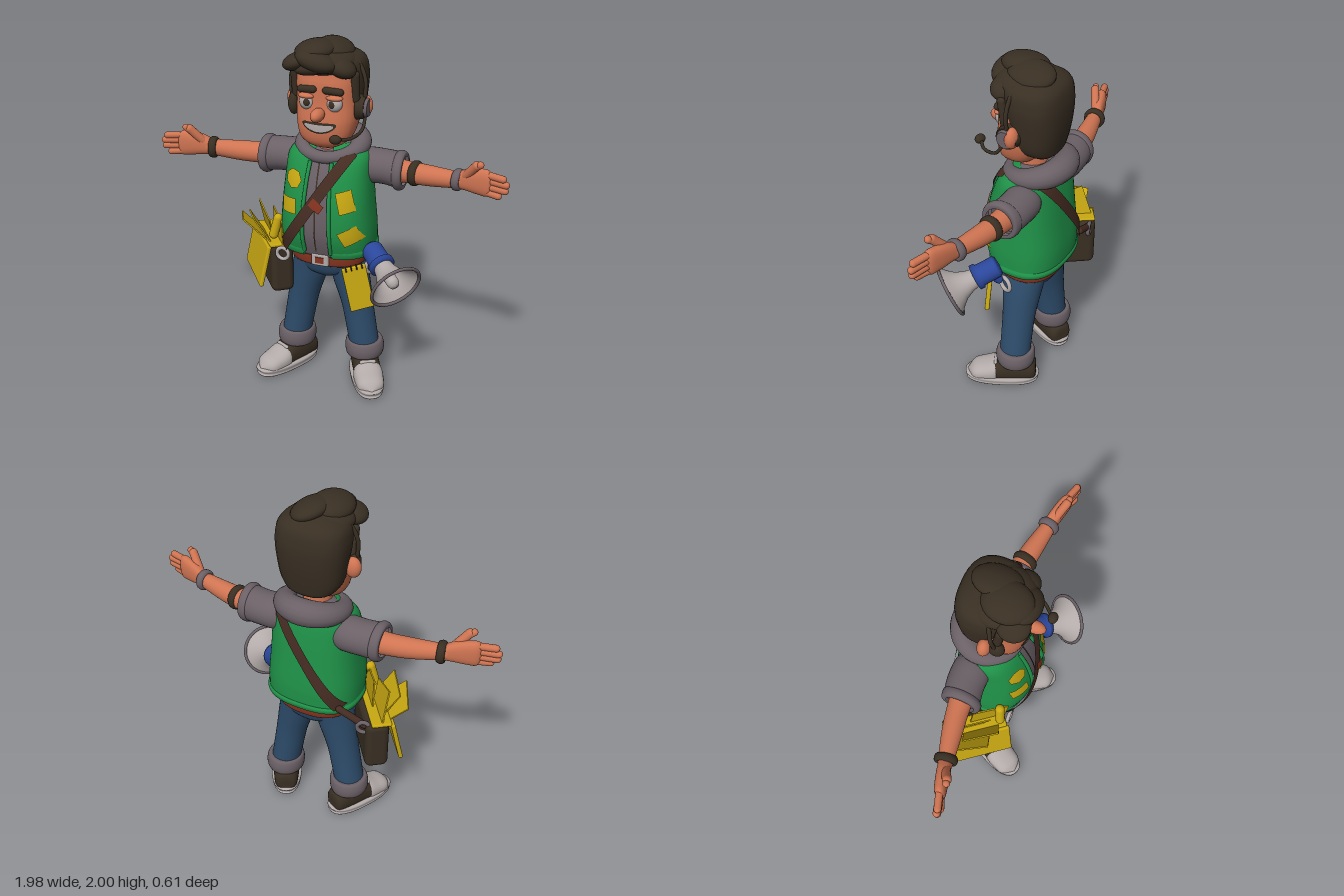
import * as THREE from 'three';
import { ParametricGeometry } from 'three/addons/geometries/ParametricGeometry.js';
import { RoundedBoxGeometry } from 'three/addons/geometries/RoundedBoxGeometry.js';

const paint = (name, color, side = THREE.FrontSide) => {
  const m = new THREE.MeshStandardMaterial({ color, side });
  m.name = name;
  return m;
};
const D = THREE.DoubleSide;
const V = (a) => new THREE.Vector3(...a);

// smooth interpolation through rows of numbers
function sample(rows, t) {
  const f = t * (rows.length - 1), i = Math.min(Math.floor(f), rows.length - 2), k = f - i;
  const row = (j) => rows[Math.max(0, Math.min(rows.length - 1, j))];
  const [p, a, b, q] = [row(i - 1), row(i), row(i + 1), row(i + 2)];
  return a.map((v, c) => v + 0.5 * k * (b[c] - p[c] + k * (2 * p[c] - 5 * v + 4 * b[c] - q[c] + k * (3 * (v - b[c]) + q[c] - p[c]))));
}

// skin over rounded sections [y, centre x, centre z, half width, half depth], with an optional front opening
function loft(rows, n = 2, gap = 0, seg = 32) {
  return new ParametricGeometry((u, v, out) => {
    const [y, cx, cz, rx, rz] = sample(rows, v);
    const a = gap + u * (2 * Math.PI - 2 * gap), s = Math.sin(a), c = Math.cos(a);
    const r = 1 / Math.pow(Math.abs(s) ** n + Math.abs(c) ** n, 1 / n);
    out.set(cx + rx * s * r, y, cz + rz * c * r);
  }, seg, (rows.length - 1) * 4);
}

// lay a flat shape on the front (1) or back (-1) of a lofted body
function drape(geo, rows, n, side, off) {
  const p = geo.attributes.position;
  for (let i = 0; i < p.count; i++) {
    let lo = 0, hi = 1;
    for (let k = 0; k < 20; k++) {
      const mid = (lo + hi) / 2;
      if (sample(rows, mid)[0] < p.getY(i)) lo = mid; else hi = mid;
    }
    const [, cx, cz, rx, rz] = sample(rows, lo);
    const q = Math.max(0, 1 - Math.abs((p.getX(i) - cx) / rx) ** n) ** (1 / n);
    p.setZ(i, cz + side * (rz * q + off));
  }
  geo.computeVertexNormals();
  return geo;
}

const toward = (geo, from, dir) => geo
  .applyQuaternion(new THREE.Quaternion().setFromUnitVectors(V([0, 1, 0]), V(dir).normalize()))
  .translate(...from);
function rod(a, b, r) {
  const d = V(b).sub(V(a));
  return toward(new THREE.CapsuleGeometry(r, d.length(), 6, 14), V(a).addScaledVector(d, 0.5).toArray(), d.toArray());
}
const blob = (c, r, rz = 0) => new THREE.SphereGeometry(1, 24, 16).scale(...r).rotateZ(rz).translate(...c);
const tube = (pts, r) => new THREE.TubeGeometry(new THREE.CatmullRomCurve3(pts.map(V)), 32, r, 10);
function mirrored(geo) {
  const g = geo.clone().scale(-1, 1, 1), ix = g.index.array;
  for (let i = 0; i < ix.length; i += 3) [ix[i], ix[i + 1]] = [ix[i + 1], ix[i]];
  return g;
}

export function createModel() {
  const skin = paint('skin', 0xcf7452), dark = paint('dark brown', 0x392f23, D), green = paint('vest green', 0x1f9148, D);
  const grey = paint('hoodie grey', 0x6a6066, D), jeans = paint('denim', 0x2e4d6c), yellow = paint('yellow', 0xc9a912, D);
  const light = paint('pale grey', 0xb3abaa, D), red = paint('belt red', 0x85331f, D), blue = paint('blue', 0x2b479b);
  const strapCol = paint('strap brown', 0x452c22, D);
  const model = new THREE.Group();
  const add = (name, geo, mat, parent = model) => {
    const m = new THREE.Mesh(geo, mat);
    m.name = name;
    parent.add(m);
    return m;
  };
  const pair = (name, geo, mat) => {
    add(name + 'Left', geo, mat);
    add(name + 'Right', mirrored(geo), mat);
  };

  // legs, cuffs, hips
  pair('leg', loft([[0.18, .215, -.065, .086, .09], [0.45, .168, -.065, .09, .094], [0.65, .122, -.065, .106, .115], [0.8, .1, -.065, .095, .14]]), jeans);
  pair('cuff', loft([[0.14, .212, -.07, .08, .08], [0.145, .212, -.07, .104, .106], [0.19, .212, -.07, .113, .115], [0.235, .21, -.07, .104, .106], [0.24, .21, -.07, .08, .085]]), grey);
  add('hips', loft([[0.65, 0, -.065, .05, .09], [0.69, 0, -.065, .16, .13], [0.77, 0, -.065, .2, .155], [0.84, 0, -.065, .2, .16]], 2.4), jeans);

  // shoes, toes turned out
  const shoeAt = (g) => g.rotateY(0.48).translate(.215, 0, -.065);
  const lengthwise = (rows) => shoeAt(loft(rows.map(([z, cy, rx, ry]) => [z, 0, -cy, rx, ry]), 2.3).rotateX(Math.PI / 2));
  pair('sole', shoeAt(loft([[0, 0, .075, .001, .001], [0, 0, .075, .08, .195], [.02, 0, .075, .089, .207], [.048, 0, .075, .086, .202], [.052, 0, .075, .001, .001]], 2.5)), light);
  pair('shoeUpper', lengthwise([[-.125, .07, .001, .001], [-.115, .08, .06, .06], [-.03, .09, .076, .09], [.06, .085, .078, .085], [.13, .065, .078, .065], [.17, .05, .05, .03]]), dark);
  pair('toeCap', lengthwise([[.1, .07, .06, .05], [.11, .07, .083, .072], [.17, .06, .083, .06], [.24, .05, .068, .045], [.28, .045, .001, .001]]), light);
  for (let i = 0; i < 3; i++) pair('lace' + i, shoeAt(rod([-.035, .172 - i * .018, .04 + i * .034], [.035, .172 - i * .018, .04 + i * .034], .012)), light);

  // torso: hoodie under an open vest
  const vest = [[.83, 0, -.065, .262, .205], [.95, 0, -.05, .262, .222], [1.1, 0, -.045, .25, .213], [1.25, 0, -.055, .238, .188], [1.36, 0, -.07, .228, .155], [1.41, 0, -.085, .185, .12], [1.435, 0, -.09, .12, .075]];
  const inner = vest.map(([y, x, z, a, b]) => [y, x, z, a - .016, b - .016]);
  add('hoodieBody', loft([[.81, 0, -.065, .215, .17], ...inner, [1.44, 0, -.09, .001, .001]], 2.6), grey);
  add('vest', loft(vest, 2.6, 0.27, 48), green);
  add('vestHem', loft([[.83, 0, -.065, .25, .195], [.82, 0, -.065, .262, .205], [.845, 0, -.065, .27, .213], [.865, 0, -.06, .262, .208]], 2.6, 0.3, 48), green);
  for (const s of [-1, 1]) add('vestEdge', tube([.85, .95, 1.1, 1.25, 1.36].map((y, i) => [s * [.075, .077, .073, .066, .06][i], y, [.14, .17, .168, .134, .086][i]]), .011), green);
  add('zip', drape(new THREE.PlaneGeometry(.008, .5, 1, 16).translate(-.01, 1.1, 0), vest, 2.6, 1, -.01), dark);
  add('hood', new ParametricGeometry((u, v, out) => {
    const a = u * 2 * Math.PI, t = v * 2 * Math.PI, f = (1 + Math.sin(a)) / 2, r = .072 - .038 * f;
    const ring = .145 + r * Math.cos(t);
    out.set(ring * 1.06 * Math.cos(a), 1.435 - .06 * f + r * Math.sin(t), -.085 + ring * Math.sin(a));
  }, 40, 16), grey).material.side = D;
  add('neck', rod([0, 1.38, -.06], [0, 1.47, -.05], .08), skin);

  // patches on the vest
  const patch = (x, y, w, h, rot) => add('patch', drape(new THREE.PlaneGeometry(w, h, 5, 5).rotateZ(rot).translate(x, y, 0), vest, 2.6, 1, .009), yellow);
  patch(-.165, 1.11, .095, .085, .05);
  patch(.155, 1.165, .08, .12, .25);
  patch(.185, .97, .1, .09, .45);
  add('roundPatch', drape(new THREE.RingGeometry(0, .052, 7, 4).translate(-.145, 1.255, 0), vest, 2.6, 1, .009), yellow);

  // belt and buckle
  add('belt', loft([[.752, 0, -.065, .2, .155], [.755, 0, -.065, .213, .17], [.81, 0, -.065, .215, .173], [.815, 0, -.065, .2, .155]], 2.4), red);
  add('buckle', new RoundedBoxGeometry(.1, .075, .03, 3, .012).translate(.005, .795, .112), light);
  add('buckleInset', new THREE.BoxGeometry(.05, .035, .008).translate(.005, .795, .128), red);

  // sleeves, arms, hands
  const along = (rows, n) => loft(rows.map(([x, cy, cz, ry, rz]) => [x, -cy, cz, ry, rz]), n).rotateZ(-Math.PI / 2);
  pair('sleeve', along([[.14, 1.3, -.11, .07, .08], [.2, 1.3, -.115, .095, .1], [.3, 1.3, -.115, .095, .1], [.385, 1.295, -.1, .1, .1]]), grey);
  pair('sleeveCuff', along([[.36, 1.295, -.105, .08, .08], [.362, 1.295, -.105, .102, .102], [.385, 1.295, -.1, .11, .108], [.408, 1.295, -.1, .1, .1], [.41, 1.295, -.1, .078, .078]]), grey);
  pair('arm', along([[.25, 1.295, -.115, .07, .07], [.42, 1.292, -.1, .06, .06], [.55, 1.295, -.08, .056, .055], [.7, 1.305, -.05, .045, .042], [.74, 1.31, -.042, .042, .036]]), skin);
  pair('palm', along([[.7, 1.305, -.05, .04, .035], [.76, 1.32, -.035, .058, .036], [.83, 1.325, -.018, .07, .034], [.88, 1.325, -.005, .066, .027], [.9, 1.325, 0, .001, .001]], 2.5), skin);
  [[1.278, .935], [1.31, .968], [1.342, .972], [1.372, .955]].forEach(([y, x], i) =>
    pair('finger' + i, rod([.85, y, -.012], [x, y - .004, .02], .019), skin));
  pair('thumb', rod([.755, 1.345, -.025], [.815, 1.42, .012], .024), skin);
  pair('thumbTip', rod([.8, 1.4, .004], [.835, 1.428, .018], .019), skin);
  const band = (name, x, y, z, r, mat) => add(name, new THREE.TorusGeometry(r, .014, 10, 24).scale(1, 1, 1.6).rotateY(Math.PI / 2 - Math.sign(x) * .18).translate(x, y, z), mat);
  band('wristbandRight', -.7, 1.305, -.05, .048, dark);
  band('wristbandLeft', .71, 1.307, -.048, .046, grey);
  band('armband', .47, 1.293, -.092, .056, dark);

  // head and face
  const head = [[1.42, 0, .01, .001, .001], [1.435, 0, .01, .07, .06], [1.48, 0, 0, .135, .105], [1.57, .003, -.02, .163, .137], [1.68, .003, -.03, .166, .134], [1.8, 0, -.04, .166, .14], [1.88, 0, -.05, .14, .12], [1.9, 0, -.05, .001, .001]];
  add('head', loft(head, 2.6), skin);
  add('nose', blob([.002, 1.632, .14], [.034, .036, .06]), skin);
  pair('eye', blob([.076, 1.685, .086], [.042, .044, .032]), light);
  pair('pupil', blob([.07, 1.685, .112], [.018, .02, .01]), dark);
  pair('eyelid', blob([.076, 1.717, .092], [.046, .016, .028]), skin);
  pair('eyebrow', rod([.035, 1.757, .105], [.108, 1.75, .092], .019), dark);
  pair('ear', blob([.195, 1.655, -.045], [.045, .058, .035]), skin);
  const smile = (w, h, off) => {
    const g = new THREE.RingGeometry(0, 1, 28, 5).scale(w, h, 1), p = g.attributes.position;
    for (let i = 0; i < p.count; i++) p.setY(i, p.getY(i) + 1.556 + 2.2 * p.getX(i) ** 2);
    return drape(g, head, 2.6, 1, off);
  };
  add('mouth', smile(.094, .03, .006), dark);
  add('teeth', smile(.082, .019, .012), light);

  // hair with a swept front
  add('hairBack', loft([[1.5, 0, -.13, .001, .001], [1.515, 0, -.13, .1, .07], [1.57, 0, -.105, .16, .115], [1.7, 0, -.1, .184, .14], [1.82, 0, -.088, .192, .155], [1.9, 0, -.075, .17, .145], [1.94, 0, -.07, .08, .08], [1.945, 0, -.07, .001, .001]], 2.6), dark);
  pair('sideburn', rod([.166, 1.83, .03], [.164, 1.7, .012], .024), dark);
  [[-.01, 1.885, -.02, .17, .075, .17, 0], [-.05, 1.94, .02, .11, .058, .13, .1], [-.13, 1.89, .08, .08, .045, .085, .35],
    [-.02, 1.905, .1, .115, .055, .08, -.25], [.1, 1.87, .05, .08, .05, .075, -.4], [.03, 1.94, -.06, .1, .05, .13, -.3], [-.04, 1.87, .1, .1, .04, .06, .2]]
    .forEach(([x, y, z, a, b, c, r], i) => add('hairLock' + i, blob([x, y, z], [a, b, c], r), dark));

  // headset
  add('headband', tube([[-.19, 1.66, .01], [-.2, 1.8, -.01], [-.15, 1.9, -.03], [0, 1.95, -.04], [.15, 1.9, -.03], [.205, 1.8, -.02], [.2, 1.66, -.02]], .011), dark);
  const disc = (r, h, x, z) => new THREE.CylinderGeometry(r * .85, r, h, 28).rotateZ(-Math.PI / 2).translate(x, 1.65, z);
  add('earpieceLeft', disc(.068, .045, .19, -.02), dark);
  add('earpieceCap', disc(.054, .02, .218, -.02), grey);
  add('earpieceRight', blob([-.178, 1.645, .01], [.032, .064, .045]), dark);
  add('microphoneArm', tube([[.212, 1.62, -.01], [.212, 1.55, .04], [.18, 1.525, .13], [.12, 1.53, .19]], .009), dark);
  add('microphone', blob([.12, 1.533, .195], [.032, .024, .026]), dark);

  // shoulder strap
  const strap = (x0, y0, x1, y1, side) => {
    const len = Math.hypot(x1 - x0, y1 - y0);
    return drape(new THREE.PlaneGeometry(.062, len, 4, 30).rotateZ(-Math.atan2(x0 - x1, y0 - y1)).translate((x0 + x1) / 2, (y0 + y1) / 2, 0), vest, 2.6, side, .016);
  };
  add('strapFront', strap(.155, 1.41, -.225, .83, 1), strapCol);
  add('strapBack', strap(.155, 1.41, -.22, .87, -1), strapCol);
  add('strapShoulder', rod([.15, 1.408, -.16], [.15, 1.408, -.02], .022), strapCol);
  add('strapTail', rod([-.22, .87, -.23], [-.36, .8, -.21], .02), strapCol);
  add('strapBuckle', drape(new THREE.PlaneGeometry(.075, .05, 4, 4).rotateZ(-.58).translate(.005, 1.14, 0), vest, 2.6, 1, .022), red);
  add('frontClasp', new THREE.TorusGeometry(.034, .011, 10, 20).translate(-.225, .785, .1), light);
  add('backClasp', new THREE.TorusGeometry(.034, .012, 10, 20).rotateY(.3).translate(-.36, .79, -.22), grey);

  // messenger bag with yellow flap and papers
  const bag = new THREE.Group();
  bag.name = 'bag';
  bag.position.set(-.34, .67, -.07);
  bag.rotation.y = -.927;
  model.add(bag);
  add('bagBody', new RoundedBoxGeometry(.35, .3, .13, 4, .035), dark, bag);
  add('bagFlap', new RoundedBoxGeometry(.37, .25, .024, 2, .01).rotateX(-.22).translate(0, .03, .105), yellow, bag);
  add('bagTop', new RoundedBoxGeometry(.35, .02, .11, 2, .008).translate(0, .15, .02), yellow, bag);
  [[-.06, .02, .25, -.3], [.03, .05, .55, .12], [.08, .0, .05, -.12], [-.02, .06, .8, .25]].forEach(([x, z, tip, roll], i) =>
    add('paper' + i, new THREE.BoxGeometry(.2, .18, .008).translate(0, .08, 0).rotateZ(roll).rotateX(tip).translate(x, .14, z), yellow, bag));
  add('pouch', rod([-.265, .98, .06], [-.29, .88, .07], .026), yellow);

  // notepad on the belt
  const pad = new THREE.Group();
  pad.name = 'notepad';
  pad.position.set(.22, .65, .095);
  pad.rotation.set(-.1, .5, .2, 'YXZ');
  model.add(pad);
  add('padBody', new RoundedBoxGeometry(.135, .26, .026, 2, .008), yellow, pad);
  for (let i = 0; i < 4; i++) add('padRing', new THREE.TorusGeometry(.013, .004, 6, 12).rotateY(Math.PI / 2).translate(-.045 + i * .03, .125, .008), dark, pad);

  // megaphone
  const at = [.27, .855, .015], dir = [.68, -.39, .61];
  const horn = (pts) => toward(new THREE.LatheGeometry(pts.map(([r, y]) => new THREE.Vector2(r, y)), 36), at, dir);
  add('megaphoneBody', horn([[0, -.02], [.05, -.015], [.06, 0], [.062, .1], [.072, .105], [.072, .13], [.04, .132], [0, .132]]), blue);
  add('megaphoneHorn', horn([[.05, .125], [.06, .17], [.08, .215], [.11, .25], [.143, .28]]), light);
  add('megaphoneRim', toward(new THREE.TorusGeometry(.143, .009, 10, 40).rotateX(Math.PI / 2).translate(0, .28, 0), at, dir), grey);
  add('megaphoneCore', horn([[.035, .12], [.034, .25], [.025, .272], [0, .278]]), light);
  add('megaphoneHandle', rod([.31, .83, .03], [.27, .77, .0], .024), blue);
  add('beltRing', new THREE.TorusGeometry(.04, .012, 10, 22).rotateY(1.2).translate(.25, .735, -.03), light);
  return model;
}
